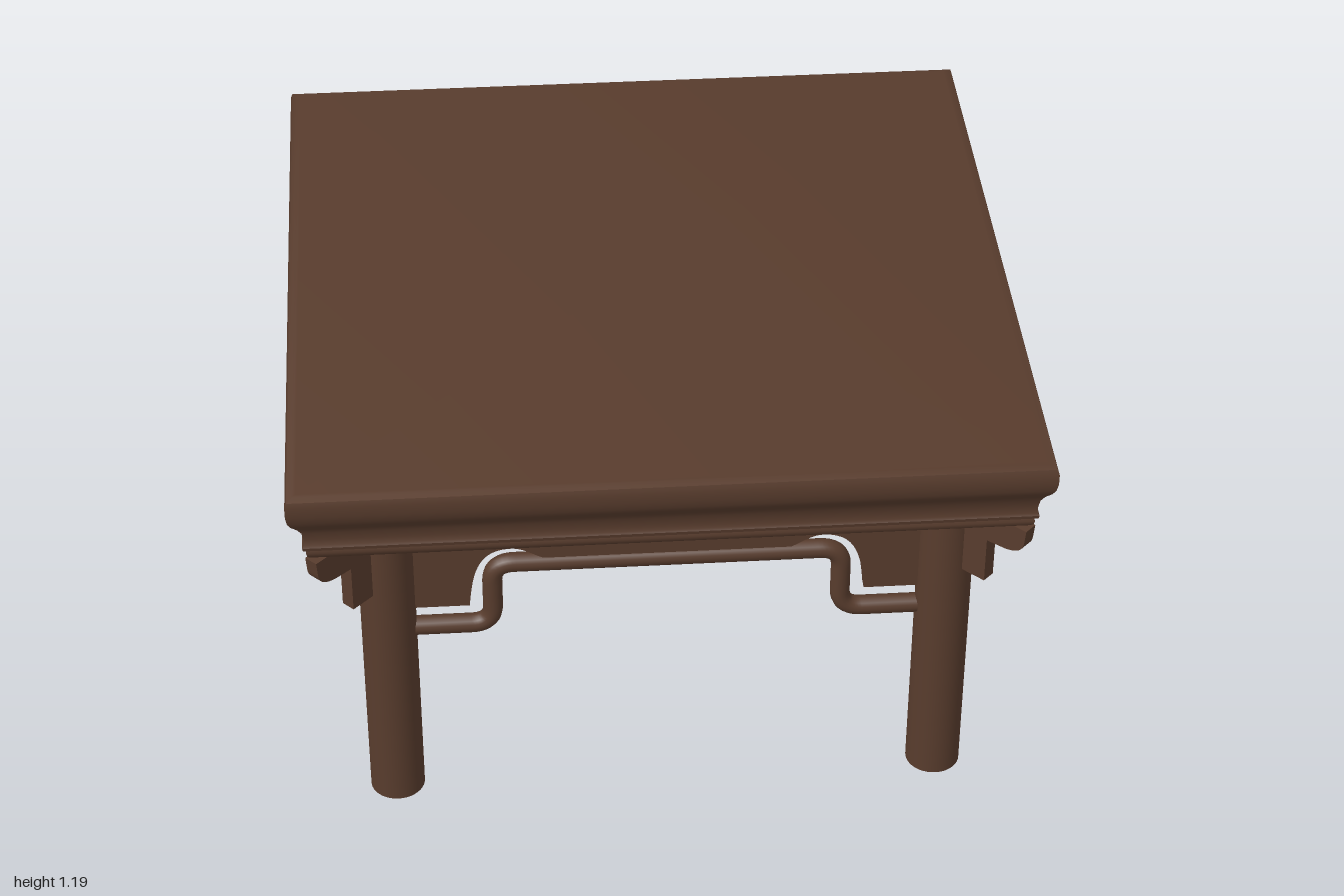
import * as THREE from 'three';
import { toCreasedNormals } from 'three/addons/utils/BufferGeometryUtils.js';

const LEG_X = 0.755, LEG_Z = 0.77, LEG_R = 0.075, UNDERSIDE = 0.96;

// Square moulded top: a four-sided lathe, so each radius is half-width * sqrt(2)
function topGeometry() {
  const profile = [
    [0, 0.96], [0.945, 0.96], [0.952, 0.968], [0.955, 0.98], [0.952, 0.99],
    [0.962, 0.995], [0.964, 1.005], [0.96, 1.012], [0.959, 1.03], [0.963, 1.055],
    [0.973, 1.075], [0.988, 1.095], [0.996, 1.112], [1, 1.135], [1, 1.165],
    [0.995, 1.18], [0.98, 1.188], [0.97, 1.19], [0, 1.19],
  ].map(([w, y]) => new THREE.Vector2(w * Math.SQRT2, y));
  return toCreasedNormals(new THREE.LatheGeometry(profile, 4, Math.PI / 4), 0.7);
}

// Apron board with its arched opening, centred in depth
function apronGeometry() {
  const s = new THREE.Shape();
  s.moveTo(-LEG_X, UNDERSIDE);
  s.lineTo(-LEG_X, 0.64);
  s.lineTo(-0.535, 0.64);
  s.bezierCurveTo(-0.525, 0.74, -0.515, 0.83, -0.42, 0.83);
  s.bezierCurveTo(-0.38, 0.83, -0.36, 0.80, -0.31, 0.785);
  s.lineTo(0.31, 0.785);
  s.bezierCurveTo(0.36, 0.80, 0.38, 0.83, 0.42, 0.83);
  s.bezierCurveTo(0.515, 0.83, 0.525, 0.74, 0.535, 0.64);
  s.lineTo(LEG_X, 0.64);
  s.lineTo(LEG_X, UNDERSIDE);
  const g = new THREE.ExtrudeGeometry(s, { depth: 0.03, bevelEnabled: false, curveSegments: 14 });
  return toCreasedNormals(g.translate(0, 0, -0.015), 0.6);
}

// Humped rail: straight runs joined by rounded bends
function railGeometry() {
  const low = 0.567, high = 0.772, bend = 0.06;
  const pts = [[-LEG_X, low], [-0.472, low], [-0.472, high], [0.472, high], [0.472, low], [LEG_X, low]]
    .map(([x, y]) => new THREE.Vector3(x, y, 0));
  const path = new THREE.CurvePath();
  let from = pts[0];
  for (let i = 1; i < pts.length - 1; i++) {
    const p = pts[i];
    const a = p.clone().add(pts[i - 1].clone().sub(p).setLength(bend));
    const b = p.clone().add(pts[i + 1].clone().sub(p).setLength(bend));
    path.add(new THREE.LineCurve3(from, a));
    path.add(new THREE.QuadraticBezierCurve3(a, p, b));
    from = b;
  }
  path.add(new THREE.LineCurve3(from, pts[pts.length - 1]));
  return new THREE.TubeGeometry(path, 180, 0.027, 16);
}

// Stepped corner bracket, reaching along +x from the leg's centre
function bracketGeometry() {
  const s = new THREE.Shape();
  s.moveTo(0, UNDERSIDE);
  s.lineTo(0, 0.73);
  s.lineTo(0.146, 0.73);
  s.lineTo(0.146, 0.868);
  s.lineTo(0.205, 0.872);
  s.quadraticCurveTo(0.262, 0.88, 0.264, 0.92);
  s.lineTo(0.268, UNDERSIDE);
  const g = new THREE.ExtrudeGeometry(s, { depth: 0.04, bevelEnabled: false, curveSegments: 8 });
  return toCreasedNormals(g.translate(0, 0, -0.02), 0.6);
}

export function createModel() {
  const table = new THREE.Group();
  table.name = 'squareTable';
  const wood = new THREE.MeshStandardMaterial({ color: 0x583c2d });
  wood.name = 'darkWood';

  const add = (parent, name, geometry) => {
    const mesh = new THREE.Mesh(geometry, wood);
    mesh.name = name;
    parent.add(mesh);
    return mesh;
  };

  add(table, 'tableTop', topGeometry());

  // Legs, each with a bracket pointing out to its corner
  const legGeo = new THREE.CylinderGeometry(LEG_R, LEG_R, UNDERSIDE, 40);
  const bracketGeo = bracketGeometry();
  for (const sx of [-1, 1]) {
    for (const sz of [-1, 1]) {
      const corner = new THREE.Group();
      corner.name = (sz > 0 ? 'front' : 'back') + (sx > 0 ? 'Left' : 'Right') + 'Corner';
      corner.position.set(sx * LEG_X, 0, sz * LEG_Z);
      add(corner, 'leg', legGeo).position.y = UNDERSIDE / 2;
      add(corner, 'cornerBracket', bracketGeo).rotation.y = Math.atan2(-sz, sx);
      table.add(corner);
    }
  }

  // Apron and rail between the legs on each side
  const apronGeo = apronGeometry(), railGeo = railGeometry();
  ['front', 'left', 'back', 'right'].forEach((name, i) => {
    const side = new THREE.Group();
    const flank = i % 2 === 1;
    side.name = name + 'Side';
    side.rotation.y = i * Math.PI / 2;
    const apron = add(side, 'apron', apronGeo);
    const rail = add(side, 'humpedRail', railGeo);
    for (const m of [apron, rail]) {
      m.position.z = flank ? LEG_X : LEG_Z;
      m.scale.x = flank ? LEG_Z / LEG_X : 1;
    }
    table.add(side);
  });

  return table;
}
